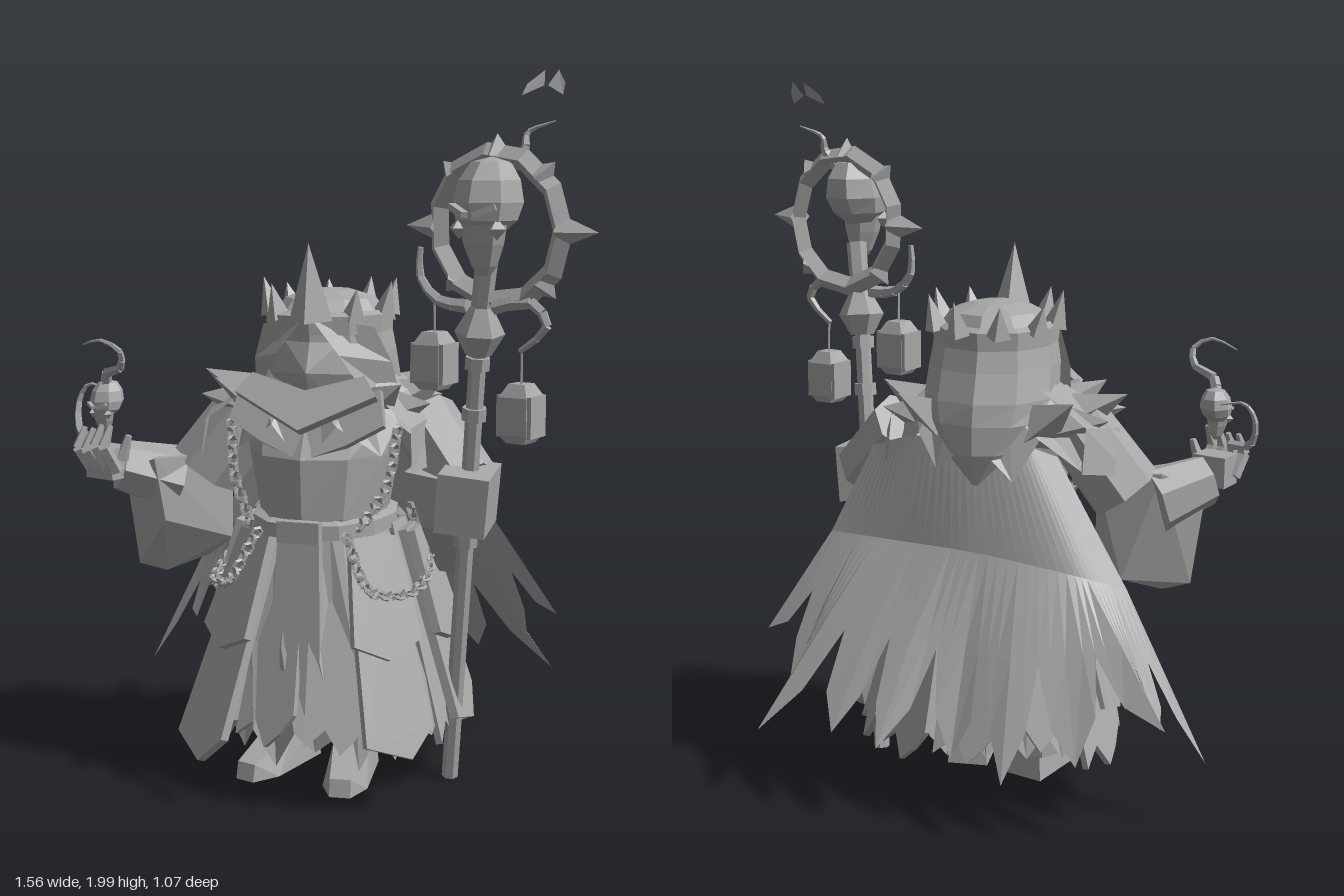
import * as THREE from 'three';
import { ConvexGeometry } from 'three/addons/geometries/ConvexGeometry.js';

const stone = new THREE.MeshStandardMaterial({ color: 0xa8a8a8, flatShading: true, side: THREE.DoubleSide });
stone.name = 'plain grey';
const V = (x, y, z) => new THREE.Vector3(x, y, z);
const noise = (i) => { const s = Math.sin(i * 12.9898 + 4.1) * 43758.5453; return s - Math.floor(s); };

function add(parent, name, geo) {
  const m = new THREE.Mesh(geo, stone);
  m.name = name;
  parent.add(m);
  return m;
}

// Surface through rows of points
function sheet(rows) {
  const n = rows[0].length, idx = [];
  for (let i = 0; i < rows.length - 1; i++)
    for (let j = 0; j < n - 1; j++) {
      const a = i * n + j, b = a + n;
      idx.push(a, a + 1, b + 1, a, b + 1, b);
    }
  const g = new THREE.BufferGeometry().setFromPoints(rows.flat());
  g.setIndex(idx);
  g.computeVertexNormals();
  return g;
}

// Closed ring of points; f(j) gives [y, rx, rz, cz]
const ring = (n, f) => Array.from({ length: n + 1 }, (_, k) => {
  const j = k % n, a = j / n * Math.PI * 2, [y, rx, rz, cz = 0] = f(j, a);
  return V(Math.sin(a) * rx, y, Math.cos(a) * rz + cz);
});
// Loft through elliptical rows, listed bottom to top
const loft = (rows, n) => sheet(rows.map((r) => ring(n, () => r)));

// Tapered rod between two points
function rod(parent, name, a, b, r0, r1, n = 6) {
  const d = b.clone().sub(a);
  const m = add(parent, name, new THREE.CylinderGeometry(r1, r0, d.length(), n));
  m.position.copy(a).addScaledVector(d, 0.5);
  m.quaternion.setFromUnitVectors(V(0, 1, 0), d.normalize());
  return m;
}

// Curling strand that thins to a point
function wisp(parent, name, pts, r, r1 = 0.002, steps = 10) {
  const p = new THREE.CatmullRomCurve3(pts).getPoints(steps);
  const t = (i) => r + (r1 - r) * i / steps;
  for (let i = 0; i < steps; i++) rod(parent, name, p[i], p[i + 1], t(i), t(i + 1), 5);
}

// Row of alternating links along a curve
function chain(parent, pts) {
  const c = new THREE.CatmullRomCurve3(pts), n = Math.round(c.getLength() / 0.026);
  for (let i = 0; i <= n; i++) {
    const m = add(parent, 'chainLink', new THREE.TorusGeometry(0.016, 0.006, 4, 6));
    m.position.copy(c.getPointAt(i / n));
    m.quaternion.setFromUnitVectors(V(1, 0, 0), c.getTangentAt(i / n));
    m.rotateX(i % 2 ? 0.4 : 1.9);
  }
}

// Cloth plate hanging at an angle around the body
function plate(parent, name, a, r, y, tilt, pts, depth = 0.02) {
  const s = new THREE.Shape(pts.map(([x, v]) => new THREE.Vector2(x, v)));
  const g = new THREE.ExtrudeGeometry(s, { depth, bevelEnabled: false });
  add(parent, name, g.rotateX(-tilt).translate(0, y, r).rotateY(a));
}

function skull(parent, name, pos, s) {
  const g = new THREE.Group();
  g.name = name;
  g.position.copy(pos);
  g.scale.setScalar(s);
  add(g, 'cranium', loft([[-0.45, 0.45, 0.4, 0.2], [-0.1, 0.8, 0.8, 0.1], [0.35, 0.9, 1.0], [0.9, 0.78, 0.9, -0.05], [1.35, 0.5, 0.55, -0.1], [1.48, 0, 0, -0.1]], 7));
  add(g, 'jaw', loft([[-1.5, 0.16, 0.12, 0.2], [-1.25, 0.34, 0.3, 0.2], [-0.7, 0.55, 0.45, 0.26], [-0.2, 0.65, 0.5, 0.3]], 7));
  for (const x of [-1, 1]) {
    const brow = add(g, 'brow', new THREE.BoxGeometry(0.6, 0.16, 0.3));
    brow.position.set(x * 0.36, 0.15, 0.85);
    brow.rotation.set(0, x * 0.4, x * 0.35);
    const cheek = add(g, 'cheek', new THREE.OctahedronGeometry(0.28));
    cheek.position.set(x * 0.55, -0.3, 0.55);
  }
  parent.add(g);
}

function buildBody(g) {
  // Feet and legs
  for (const [x, z, r] of [[-0.14, 0.02, -0.3], [0.08, 0.06, 0.1]]) {
    rod(g, 'leg', V(x, 0.08, z - 0.04), V(x, 0.5, z - 0.04), 0.07, 0.1, 7);
    const f = add(g, 'foot', new ConvexGeometry([-1, 1].flatMap((s) => [V(s * 0.06, 0, -0.1), V(s * 0.065, 0, 0.12), V(s * 0.03, 0, 0.2),
      V(s * 0.05, 0.1, -0.09), V(s * 0.05, 0.1, 0.03), V(s * 0.03, 0.05, 0.19)])));
    f.position.set(x, 0.01, z);
    f.rotation.y = r;
  }
  // Ragged skirt
  add(g, 'skirt', sheet([
    ring(36, () => [0.77, 0.19, 0.2, 0.04]),
    ring(36, (j) => [0.45, 0.27 + (j % 2) * 0.025, 0.25 + (j % 2) * 0.025, 0.04]),
    ring(36, (j) => { const r = 0.32 + noise(j) * 0.04; return [j % 2 ? 0.11 + noise(j + 50) * 0.07 : 0.22, r, r - 0.01, 0.03]; })]));
  for (let i = 0; i < 11; i++) {
    const a = i / 11 * Math.PI * 2 + 0.3, l = -0.58 - noise(i) * 0.1;
    plate(g, 'skirtPanel', a, 0.19, 0.76, 0.24 + noise(i + 9) * 0.08,
      [[-0.05, 0], [0.05, 0], [0.1, l + 0.1], [0.06, l + 0.04], [0.02, l], [-0.02, l + 0.07], [-0.08, l + 0.02]]);
  }
  for (const [a, w, l, t] of [[-0.65, 0.11, 0.66, 0.38], [0.75, 0.11, 0.62, 0.32], [1.6, 0.13, 0.6, 0.3], [-1.6, 0.12, 0.54, 0.26]]) {
    plate(g, 'longTasset', a, 0.215, 0.74, t, [[-w * 0.6, 0], [w * 0.6, 0], [w, -l + 0.08], [w * 0.3, -l], [-w * 0.9, -l + 0.05]], 0.025);
    plate(g, 'shortTasset', a, 0.24, 0.74, t, [[-w * 0.65, 0], [w * 0.65, 0], [w * 0.95, -0.29], [0, -0.34], [-w * 0.95, -0.29]], 0.025);
  }
  plate(g, 'tabard', -0.05, 0.24, 0.78, 0.13, [[-0.06, 0], [0.06, 0], [0.085, -0.56], [0.02, -0.53], [-0.075, -0.57]], 0.025);
  // Torso and belt
  add(g, 'torso', loft([[0.7, 0.18, 0.19, 0.04], [0.8, 0.18, 0.22, 0.06], [0.97, 0.21, 0.23, 0.06], [1.1, 0.24, 0.2, 0.02], [1.2, 0.14, 0.14, 0]], 10));
  add(g, 'belt', loft([[0.745, 0.19, 0.23, 0.05], [0.75, 0.205, 0.25, 0.05], [0.79, 0.205, 0.25, 0.05], [0.8, 0.18, 0.22, 0.05]], 12));
  add(g, 'buckle', new THREE.BoxGeometry(0.12, 0.06, 0.03)).position.set(0, 0.775, 0.3);
  // Layered pointed mantle
  add(g, 'mantle', sheet([
    ring(18, () => [1.2, 0.15, 0.15, 0.03]),
    ring(18, (j) => [1.14 - (j % 2) * 0.02, 0.24, 0.19, 0.01]),
    ring(18, (j, a) => [j % 2 ? 1.06 : 0.93 + noise(j) * 0.06, (j % 2 ? 0.27 : 0.32), 0.22, 0.02 + Math.cos(a) * 0.03])]));
  plate(g, 'lowerScarf', 0, 0.18, 1.13, 0.4, [[-0.2, 0.02], [0, -0.05], [0.2, 0.02], [0.22, -0.08], [0.12, -0.14], [0, -0.19], [-0.12, -0.14], [-0.22, -0.08]], 0.03);
  plate(g, 'upperScarf', 0, 0.19, 1.18, 0.6, [[-0.16, 0], [0, -0.05], [0.16, 0], [0.2, -0.06], [0, -0.17], [-0.2, -0.06]], 0.03);
  for (const [s, k] of [[-1, 1], [1, 0.86]]) {
    for (let i = 0; i < 5; i++) {
      const a = s * (0.85 + i * 0.38), d = V(Math.sin(a) * k, 0, Math.cos(a));
      rod(g, 'shoulderSpike', V(d.x * 0.2, 1.08, d.z * 0.15), V(d.x * 0.385, 1.17 - (i % 2) * 0.06, d.z * 0.25), 0.085, 0, 4);
    }
    // Folded shoulder plates
    const x = s * k;
    add(g, 'shoulderPlate', sheet([[V(x * 0.14, 1.2, -0.1), V(x * 0.2, 1.18, 0.02), V(x * 0.18, 1.15, 0.15)],
      [V(x * 0.3, 1.1, -0.16), V(x * 0.36, 1.07, 0.0), V(x * 0.32, 1.05, 0.16)], [V(x * 0.3, 0.98, -0.2), V(x * 0.4, 0.94, -0.02), V(x * 0.33, 0.93, 0.18)]]));
  }
  // Hood, mask and crown
  add(g, 'hood', loft([[0.93, 0.01, 0.01, -0.2], [1.02, 0.1, 0.08, -0.16], [1.1, 0.17, 0.15, -0.09], [1.16, 0.19, 0.2, -0.03], [1.24, 0.185, 0.2, 0], [1.33, 0.17, 0.185, 0.01], [1.39, 0.125, 0.14, 0], [1.41, 0.06, 0.07, 0], [1.415, 0, 0, 0]], 10));
  add(g, 'mask', new ConvexGeometry([V(0, 1.28, 0.2), V(0, 1.2, 0.235), V(0, 1.1, 0.19), ...[-1, 1].flatMap((s) =>
    [V(s * 0.08, 1.28, 0.17), V(s * 0.13, 1.19, 0.15), V(s * 0.07, 1.1, 0.15)])]));
  for (const s of [-1, 1]) {
    add(g, 'hoodFlap', sheet([[V(s * 0.01, 1.35, 0.22), V(s * 0.16, 1.32, 0.12)], [V(s * 0.09, 1.25, 0.22), V(s * 0.2, 1.22, 0.08)],
      [V(s * 0.17, 1.11, 0.17), V(s * 0.215, 1.1, 0.03)]]));
  }
  add(g, 'crownBand', loft([[1.3, 0.176, 0.195, 0.01], [1.35, 0.178, 0.197, 0.01], [1.36, 0.16, 0.17, 0.01]], 10));
  for (let i = 0; i < 9; i++) {
    const a = i / 9 * Math.PI * 2, sx = Math.sin(a), cz = Math.cos(a), h = i ? 0.075 + noise(i) * 0.03 : 0.21;
    rod(g, 'crownSpike', V(sx * 0.165, 1.34, cz * 0.185), V(sx * 0.19, 1.34 + h, cz * 0.205), i ? 0.036 : 0.062, 0, 4);
  }
  // Hanging chains
  for (const s of [-1, 1]) {
    chain(g, [V(s * 0.13, 0.76, 0.28), V(s * 0.2, 0.63, 0.31), V(s * 0.29, 0.6, 0.18), V(s * 0.29, 0.66, 0), V(s * 0.22, 0.78, -0.06)]);
    chain(g, [V(s * 0.24, 1.04, 0.17), V(s * 0.22, 0.9, 0.2), V(s * 0.16, 0.79, 0.25)]);
  }
}

// Wide back cape ending in long broad tatters
function buildCape(g) {
  const tips = [[-0.78, 0.2, 0.04], [-0.7, 0.32, -0.08], [-0.78, 0.38, -0.2], [-0.57, 0.26, -0.3], [-0.4, 0.2, -0.4], [-0.22, 0.22, -0.38],
    [-0.04, 0.24, -0.48], [0.1, 0.26, -0.5], [0.34, 0.22, -0.54], [0.32, 0.33, -0.42], [0.45, 0.45, -0.36]].map((p) => V(...p));
  const curve = (...p) => new THREE.CatmullRomCurve3(p);
  const top = curve(V(-0.3, 1.0, 0.02), V(-0.24, 1.04, -0.06), V(-0.1, 1.06, -0.12), V(0.08, 1.04, -0.16), V(0.2, 1.0, -0.17));
  const mid = curve(V(-0.52, 0.65, 0.04), V(-0.42, 0.7, -0.07), V(-0.16, 0.74, -0.16), V(0.12, 0.74, -0.2), V(0.31, 0.74, -0.23));
  const n = (tips.length - 1) * 4, rows = [[], [], [], []];
  const reach = [1, 0.62, 0.05, 0.62], across = [0, 0.32, 0.5, 0.68];
  for (let j = 0; j <= n; j++) {
    const u = j / n, m = mid.getPoint(u), k = j >> 2, q = j % 4;
    const end = q ? tips[k].clone().lerp(tips[k + 1], across[q]) : tips[k];
    const hem = m.clone().lerp(end, 0.45);
    rows[0].push(top.getPoint(u));
    rows[1].push(m);
    rows[2].push(hem);
    rows[3].push(hem.clone().lerp(end, reach[q]));
  }
  add(g, 'cape', sheet(rows));
}

function buildArms(g) {
  // Right arm raised with a small skull
  rod(g, 'rightUpperArm', V(-0.29, 1.08, 0.12), V(-0.42, 0.88, 0.19), 0.1, 0.11, 7);
  add(g, 'rightSleeve', new ConvexGeometry([V(-0.6, 0.88, 0.34), V(-0.46, 0.93, 0.37), V(-0.52, 0.94, 0.22), V(-0.35, 0.93, 0.15),
    V(-0.57, 0.6, 0.32), V(-0.5, 0.58, 0.28), V(-0.42, 0.62, 0.18), V(-0.34, 0.68, 0.17), V(-0.44, 0.75, 0.35)]));
  rod(g, 'rightCuff', V(-0.48, 0.85, 0.25), V(-0.58, 0.9, 0.38), 0.1, 0.075, 7);
  add(g, 'rightPalm', new THREE.BoxGeometry(0.1, 0.09, 0.08)).position.set(-0.58, 0.92, 0.43);
  for (let i = 0; i < 4; i++) {
    const x = -0.63 + i * 0.033, y = 0.97 + noise(i) * 0.03;
    rod(g, 'finger', V(x, 0.9, 0.45), V(x - 0.01, y - 0.02, 0.49), 0.02, 0.018, 5);
    rod(g, 'fingertip', V(x - 0.01, y - 0.02, 0.49), V(x, y + 0.04, 0.47), 0.018, 0.008, 5);
  }
  rod(g, 'thumb', V(-0.53, 0.93, 0.43), V(-0.51, 1.0, 0.42), 0.02, 0.01, 5);
  skull(g, 'smallSkull', V(-0.57, 1.08, 0.44), 0.052);
  wisp(g, 'wisp', [V(-0.57, 1.13, 0.44), V(-0.55, 1.18, 0.46), V(-0.48, 1.2, 0.48), V(-0.46, 1.25, 0.5), V(-0.51, 1.28, 0.52), V(-0.6, 1.26, 0.5)], 0.018);
  wisp(g, 'wisp', [V(-0.61, 0.99, 0.46), V(-0.68, 1.0, 0.44), V(-0.71, 1.08, 0.41), V(-0.68, 1.13, 0.4), V(-0.61, 1.12, 0.39)], 0.015);
  // Left arm on the staff
  rod(g, 'leftUpperArm', V(0.16, 1.05, -0.07), V(0.33, 0.88, -0.03), 0.1, 0.1, 7);
  add(g, 'leftSleeve', new ConvexGeometry([V(0.18, 0.95, -0.1), V(0.33, 0.95, -0.08), V(0.36, 0.9, 0.05), V(0.2, 0.92, 0.08),
    V(0.2, 0.6, -0.1), V(0.27, 0.6, -0.12), V(0.36, 0.78, 0.02), V(0.24, 0.76, 0.05)]));
  const cuff = add(g, 'leftCuff', new THREE.BoxGeometry(0.14, 0.165, 0.19));
  cuff.position.set(0.375, 0.86, 0.03);
  cuff.rotation.set(0.08, 0.35, -0.12);
}

function buildStaff(g) {
  const at = (y) => V(0.27 + 0.123 * y, y, -0.06 + 0.1 * y);
  rod(g, 'shaft', at(0.01), at(1.3), 0.024, 0.024, 7);
  for (const y of [0.72, 1.08, 1.22]) rod(g, 'shaftBand', at(y), at(y + 0.035), 0.034, 0.034, 7);
  rod(g, 'shaftCup', at(1.26), at(1.32), 0.035, 0.068, 6);
  rod(g, 'shaftCup', at(1.32), at(1.39), 0.068, 0.03, 6);
  rod(g, 'shaftNeck', at(1.38), V(0.47, 1.53, 0.1), 0.028, 0.03, 6);
  // Spiked ring
  const halo = new THREE.Group();
  halo.name = 'spikedRing';
  halo.position.set(0.485, 1.595, 0.07);
  halo.rotation.set(0.05, -0.06, 0);
  add(halo, 'ring', new THREE.TorusGeometry(0.195, 0.03, 4, 11));
  for (let i = 0; i < 8; i++) {
    const a = i * Math.PI / 4, r = i % 4 === 0 ? 0.3 : 0.245, d = V(Math.cos(a), Math.sin(a), 0);
    if (i !== 6) rod(halo, 'ringSpike', d.clone().multiplyScalar(0.19), d.clone().multiplyScalar(r), 0.042, 0, 4);
  }
  g.add(halo);
  skull(g, 'largeSkull', V(0.485, 1.63, 0.12), 0.102);
  wisp(g, 'smoke', [V(0.52, 1.75, 0.08), V(0.56, 1.8, 0.07), V(0.56, 1.84, 0.06), V(0.63, 1.87, 0.04)], 0.018);
  // Hooks and lanterns
  wisp(g, 'hook', [V(0.4, 1.39, 0.08), V(0.31, 1.4, 0.08), V(0.25, 1.46, 0.08), V(0.25, 1.54, 0.08)], 0.02, 0.008, 6);
  wisp(g, 'hook', [V(0.48, 1.39, 0.08), V(0.59, 1.41, 0.08), V(0.64, 1.35, 0.08), V(0.56, 1.28, 0.08)], 0.02, 0.008, 6);
  for (const [x, y, h] of [[0.29, 1.235, 0.17], [0.56, 1.115, 0.17]]) {
    rod(g, 'lanternCord', V(x, y + 0.07, 0.07), V(x + 0.005, y + h, 0.08), 0.004, 0.004, 4);
    add(g, 'lantern', loft([[-0.078, 0, 0], [-0.078, 0.04, 0.035], [-0.055, 0.062, 0.05], [0.045, 0.062, 0.05], [0.08, 0.035, 0.03], [0.08, 0, 0]], 4).rotateY(Math.PI / 4)).position.set(x, y, 0.07);
    for (const s of [-1, 1])
      add(g, 'lanternFrame', new THREE.BoxGeometry(0.012, 0.11, 0.08)).position.set(x + s * 0.046, y - 0.005, 0.07);
  }
  // Floating embers
  for (const [x, s] of [[0.56, 1], [0.62, -1]])
    add(g, 'ember', sheet([[V(x - 0.03 * s, 1.935, 0.04), V(x + 0.025 * s, 1.96, 0.02)], [V(x - 0.025 * s, 1.965, 0.02), V(x + 0.01 * s, 2.0, -0.01)]]));
}

export function createModel() {
  const model = new THREE.Group();
  model.name = 'hoodedSorcerer';
  const part = (name, build) => {
    const g = new THREE.Group();
    g.name = name;
    build(g);
    model.add(g);
    return g;
  };
  const body = part('robedBody', buildBody);
  body.position.set(-0.07, 0, 0.05);
  body.rotation.y = 0.33;
  part('capeGroup', buildCape);
  part('arms', buildArms);
  part('staff', buildStaff);
  return model;
}
